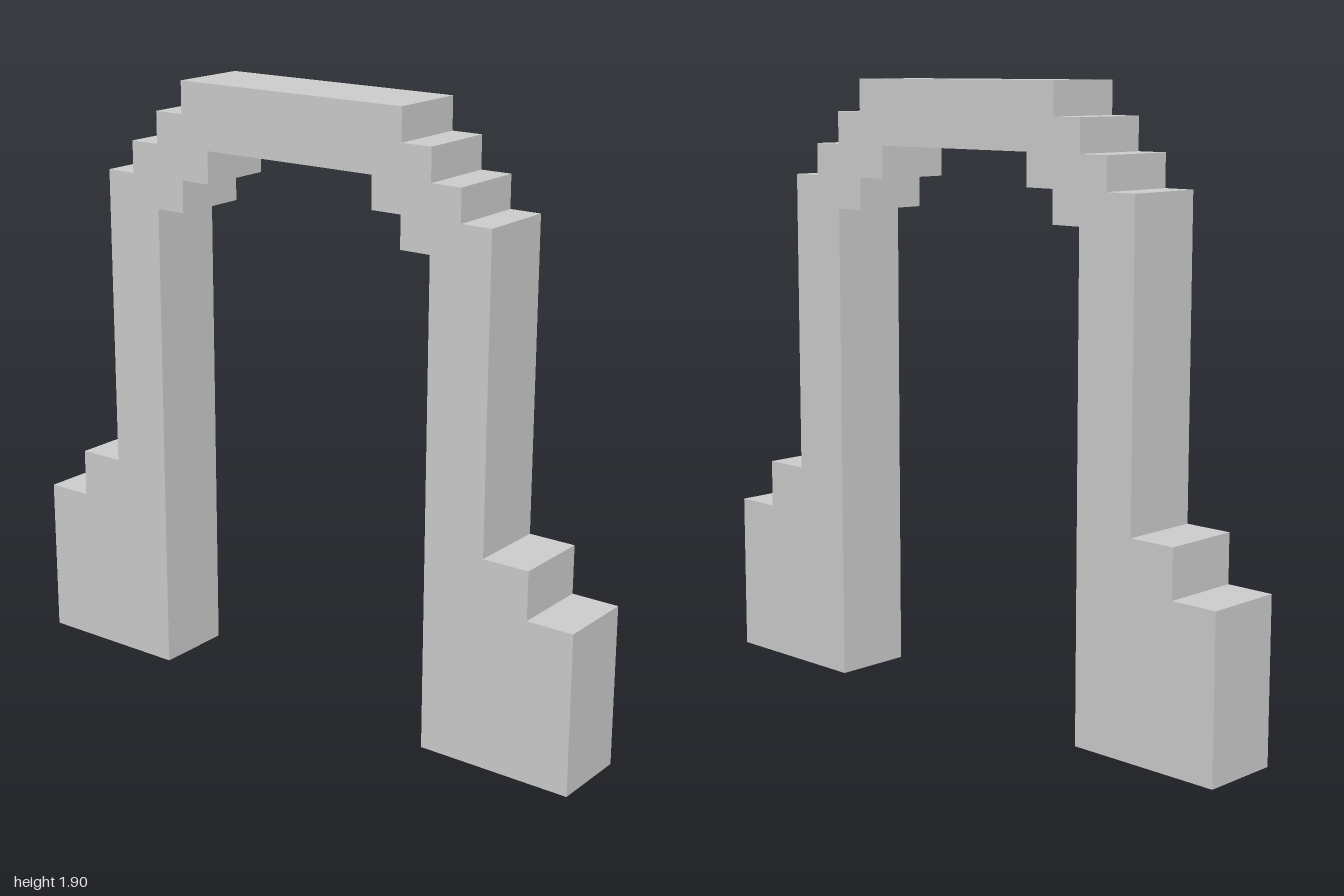
import * as THREE from 'three';

const DEPTH = 0.25;

// Right half of the stepped outline, from the inner crown round to the outer crown
const halfOutline = [
  [0.3, 1.7], [0.3, 1.6], [0.4, 1.6], [0.4, 1.5], [0.5, 1.5], [0.5, 0], // inner steps and jamb
  [1, 0], [1, 0.5], [0.85, 0.5], [0.85, 0.65], [0.7, 0.65],             // buttress steps
  [0.7, 1.6], [0.6, 1.6], [0.6, 1.7], [0.5, 1.7], [0.5, 1.8], [0.4, 1.8], [0.4, 1.9], // outer steps
];

export function createModel() {
  const group = new THREE.Group();
  group.name = 'steppedArch';

  // Mirror the half outline to close the full arch
  const mirrored = halfOutline.map(([x, y]) => [-x, y]).reverse();
  const shape = new THREE.Shape(
    [...halfOutline, ...mirrored].map(([x, y]) => new THREE.Vector2(x, y))
  );

  const geometry = new THREE.ExtrudeGeometry(shape, { depth: DEPTH, bevelEnabled: false });
  geometry.translate(0, 0, -DEPTH / 2);

  const arch = new THREE.Mesh(
    geometry,
    new THREE.MeshStandardMaterial({ color: 0xcccccc, flatShading: true })
  );
  arch.name = 'archWall';
  group.add(arch);
  return group;
}
